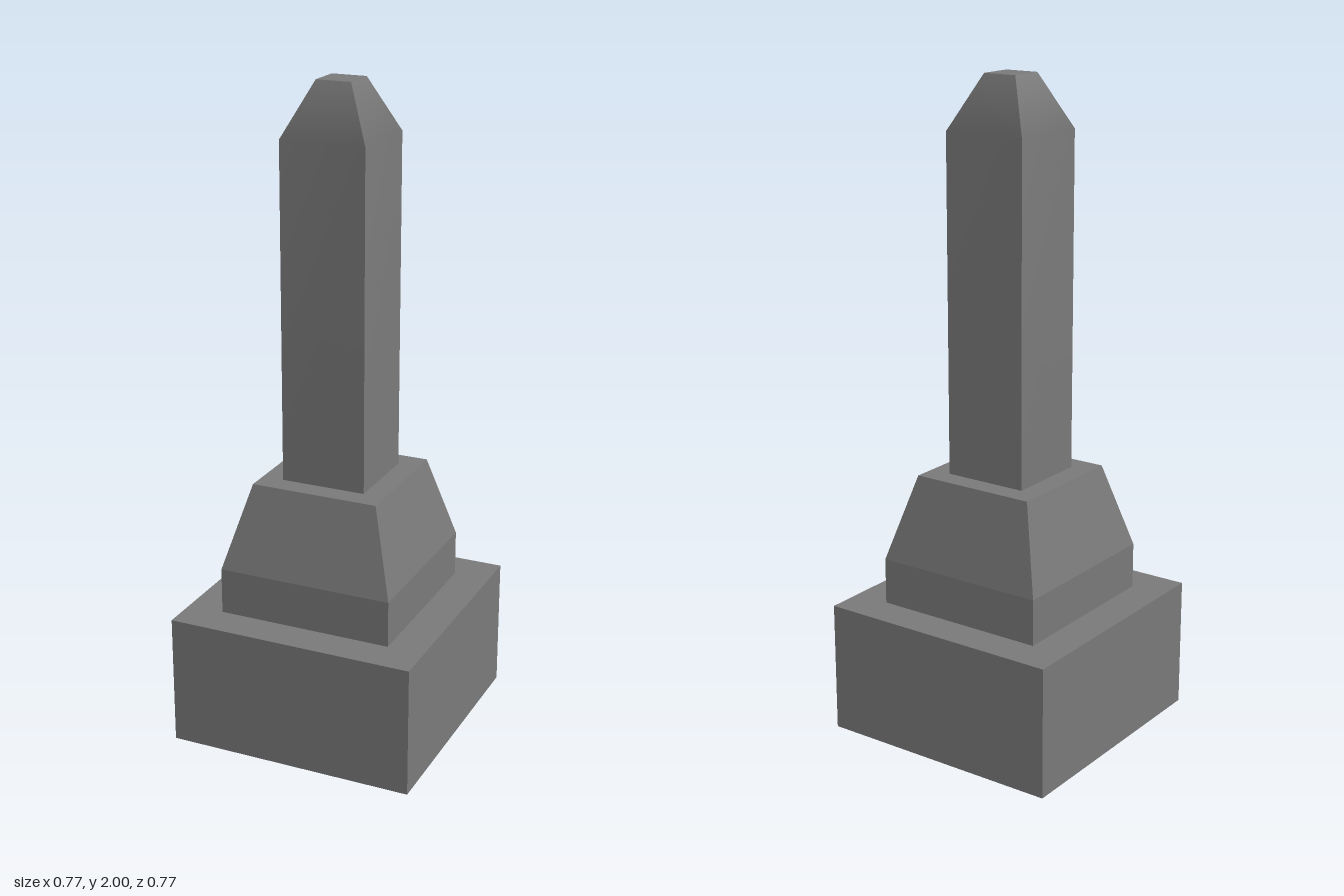
import * as THREE from 'three';
import { mergeGeometries } from 'three/addons/utils/BufferGeometryUtils.js';

const material = new THREE.MeshStandardMaterial({ color: 0x797979 });

// Square tower from a profile of [half width, y]; smooth blends the bends along each side
function squareTower(profile, smooth) {
  const rows = profile.length - 1;
  let side = new THREE.PlaneGeometry(1, 1, 1, rows);
  const pos = side.attributes.position;
  for (let i = 0; i < pos.count; i++) {
    const [half, y] = profile[rows - Math.floor(i / 2)];
    pos.setXYZ(i, i % 2 ? half : -half, y, half);
  }
  if (!smooth) side = side.toNonIndexed();
  side.computeVertexNormals();
  if (smooth) side = side.toNonIndexed();

  const parts = [];
  for (let k = 0; k < 4; k++) parts.push(side.clone().rotateY(k * Math.PI / 2));

  // Flat caps at both ends
  const cap = ([half, y], tilt) =>
    new THREE.PlaneGeometry(half * 2, half * 2).rotateX(tilt).translate(0, y, 0).toNonIndexed();
  parts.push(cap(profile[0], Math.PI / 2), cap(profile[rows], -Math.PI / 2));
  return mergeGeometries(parts);
}

export function createModel() {
  const group = new THREE.Group();
  group.name = 'obelisk';
  const add = (name, profile, smooth = false) => {
    const mesh = new THREE.Mesh(squareTower(profile, smooth), material);
    mesh.name = name;
    group.add(mesh);
  };

  add('base', [[0.386, 0], [0.386, 0.405]]);
  add('pedestal', [[0.273, 0.405], [0.273, 0.547], [0.199, 0.81]]);
  // Square shaft with a softly shaded, blunt tip
  add('shaft', [[0.132, 0.81], [0.132, 1.838], [0.054, 2]], true);
  return group;
}
